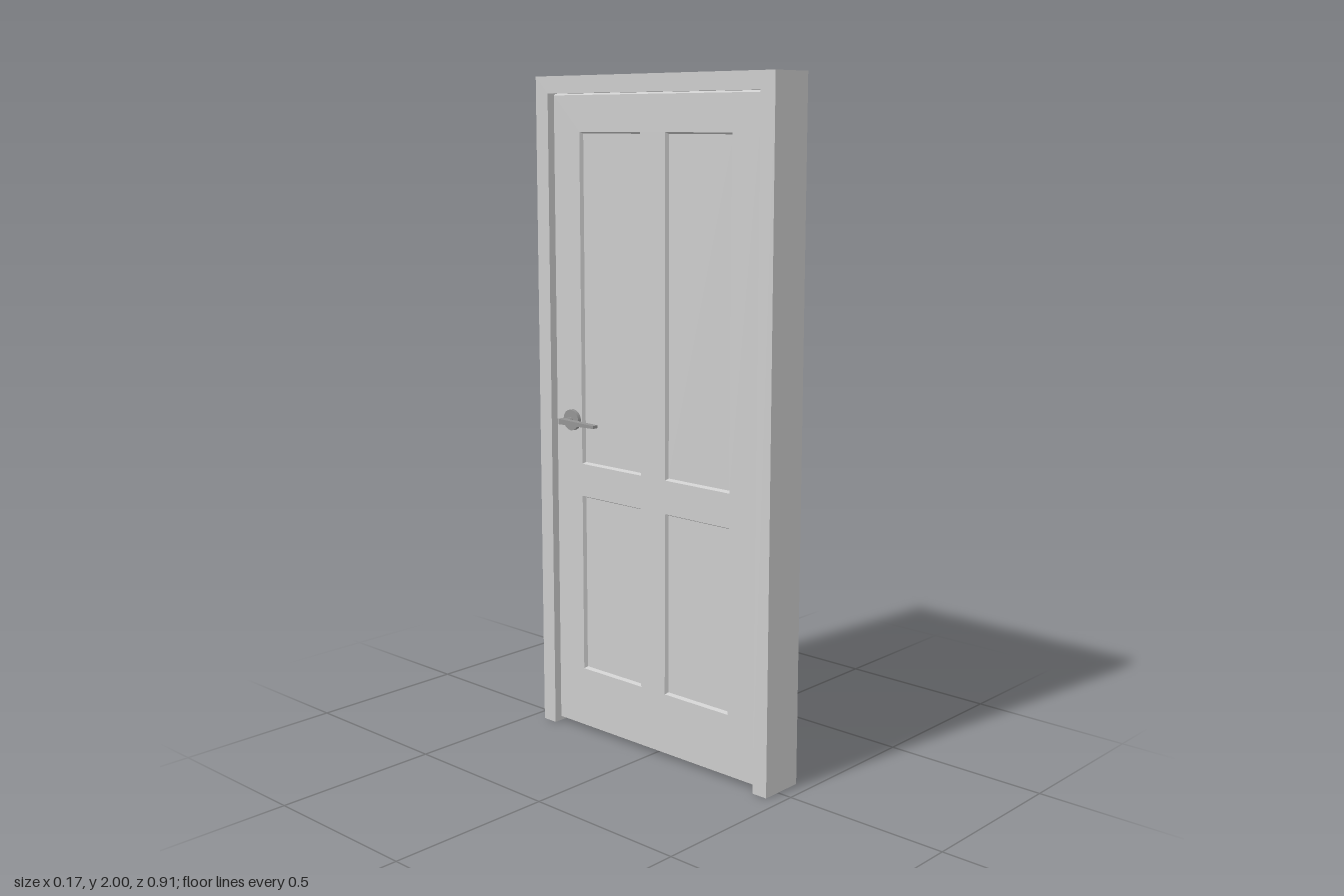
import * as THREE from 'three';

const HALF_W = 0.4535, HEIGHT = 2, DOOR_X = -0.0105, DOOR_T = 0.045, BEVEL = 0.011;

// Mitred frame: one profile (x, inset from the outer edge) carried up, over and down
function frameGeometry() {
  const profile = [
    [-0.053, 0], [0.084, 0], [0.084, 0.05], [0.06, 0.05], [0.03, 0.06],
    [0.03, 0.074], [0.013, 0.074], [0.013, 0.05], [-0.053, 0.05],
  ].map(([x, d]) => new THREE.Vector2(x, d));
  const corners = [[1, 0], [1, 1], [-1, 1], [-1, 0]]; // side of z, at the head or floor
  const at = (c, i) => {
    const [side, head] = corners[c], { x, y: d } = profile[i];
    return [x, head ? HEIGHT - d : 0, side * (HALF_W - d)];
  };
  const pos = [];
  const tri = (a, b, c) => pos.push(...a, ...b, ...c);
  for (let c = 0; c < 3; c++) {
    for (let i = 0; i < profile.length; i++) {
      const j = (i + 1) % profile.length;
      tri(at(c, i), at(c, j), at(c + 1, j));
      tri(at(c, i), at(c + 1, j), at(c + 1, i));
    }
  }
  // feet of the jambs
  for (const [a, b, c] of THREE.ShapeUtils.triangulateShape(profile, [])) {
    tri(at(0, a), at(0, c), at(0, b));
    tri(at(3, a), at(3, b), at(3, c));
  }
  const g = new THREE.BufferGeometry();
  g.setAttribute('position', new THREE.Float32BufferAttribute(pos, 3));
  g.computeVertexNormals();
  return g;
}

function rectPath(path, x0, y0, x1, y1) {
  path.moveTo(x0, y0);
  path.lineTo(x1, y0);
  path.lineTo(x1, y1);
  path.lineTo(x0, y1);
  path.closePath();
  return path;
}

export function createModel() {
  const paint = new THREE.MeshStandardMaterial({ color: 0xcccccc });
  paint.name = 'paint';
  const metal = new THREE.MeshStandardMaterial({ color: 0x949494 });
  metal.name = 'metal';

  const model = new THREE.Group();
  model.name = 'door';
  const add = (parent, name, geometry, material, x = 0, y = 0, z = 0) => {
    const mesh = new THREE.Mesh(geometry, material);
    mesh.name = name;
    mesh.position.set(x, y, z);
    parent.add(mesh);
    return mesh;
  };

  add(model, 'frame', frameGeometry(), paint);

  // Leaf with four bevelled openings, each filled by a recessed panel
  const leaf = rectPath(new THREE.Shape(), -0.398, 0.016, 0.398, 1.945);
  for (const side of [-1, 1]) {
    for (const [y0, y1] of [[0.2, 0.75], [0.85, 1.84]]) {
      const [z0, z1] = side > 0 ? [0.048, 0.292] : [-0.292, -0.048];
      leaf.holes.push(rectPath(new THREE.Path(), z0, y0, z1, y1));
      add(model, 'panel', new THREE.BoxGeometry(DOOR_T - 2 * BEVEL, y1 - y0 - 0.006, z1 - z0 - 0.006),
        paint, DOOR_X, (y0 + y1) / 2, (z0 + z1) / 2);
    }
  }
  const depth = DOOR_T - 2 * BEVEL;
  const leafGeometry = new THREE.ExtrudeGeometry(leaf, {
    depth, bevelEnabled: true, bevelThickness: BEVEL, bevelSize: 0.005, bevelSegments: 1,
  });
  leafGeometry.translate(0, 0, -depth / 2).rotateY(Math.PI / 2);
  add(model, 'leaf', leafGeometry, paint, DOOR_X);

  // Lever handles on both faces
  for (const side of [-1, 1]) {
    const handle = new THREE.Group();
    handle.name = side < 0 ? 'outerHandle' : 'innerHandle';
    handle.position.set(DOOR_X + side * DOOR_T / 2, 0.982, -0.328);
    model.add(handle);

    const rose = new THREE.CylinderGeometry(0.032, 0.032, 0.012, 16).rotateZ(Math.PI / 2);
    add(handle, 'rose', rose, metal, side * 0.006);

    const stem = new THREE.CylinderGeometry(0.009, 0.009, 0.044, 12).rotateZ(Math.PI / 2);
    add(handle, 'stem', stem, metal, side * 0.022);

    // grip thins towards its tip
    const grip = new THREE.BoxGeometry(0.02, 0.017, 0.147);
    const p = grip.attributes.position;
    for (let i = 0; i < p.count; i++) if (p.getZ(i) > 0) p.setY(i, p.getY(i) * 0.5);
    grip.computeVertexNormals();
    add(handle, 'grip', grip, metal, side * 0.0435, 0, 0.0625);
  }
  return model;
}
